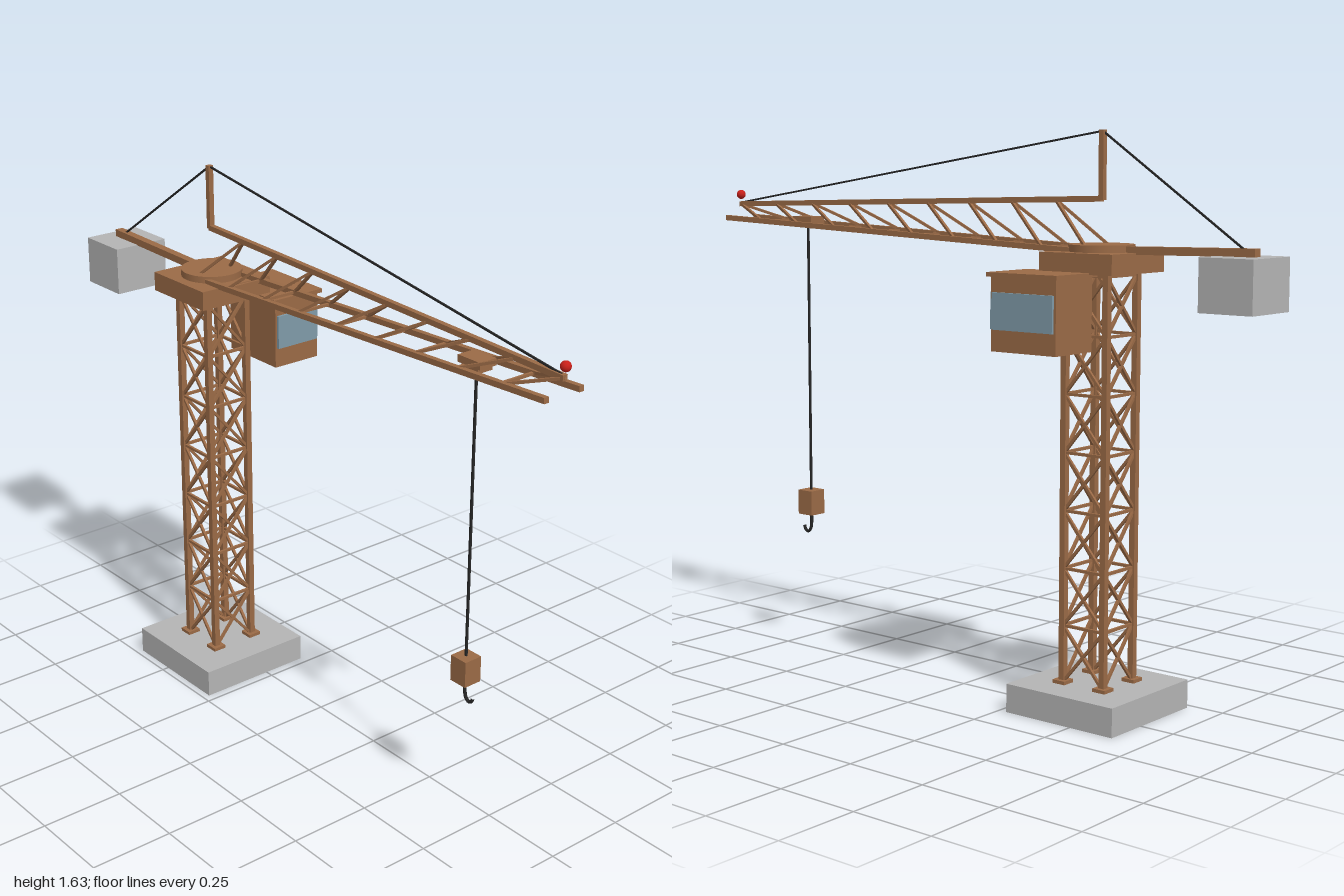
import * as THREE from 'three';

const paint = (name, color) => {
  const m = new THREE.MeshStandardMaterial({ color });
  m.name = name;
  return m;
};

export function createModel() {
  const brown = paint('brown steel', 0x9a6a46);
  const concrete = paint('concrete grey', 0xb4b4b4);
  const glass = paint('window glass', 0x7f9aa8);
  const dark = paint('dark cable', 0x262626);
  const red = paint('beacon red', 0xc8201a);

  const model = new THREE.Group();
  model.name = 'towerCrane';
  const CX = -0.045, CZ = -0.46; // tower axis

  const group = (name) => {
    const g = new THREE.Group();
    g.name = name;
    model.add(g);
    return g;
  };
  const add = (parent, name, geo, mat, x, y, z) => {
    const m = new THREE.Mesh(geo, mat);
    m.name = name;
    m.position.set(x, y, z);
    parent.add(m);
    return m;
  };
  const box = (parent, name, mat, w, h, d, x, y, z) =>
    add(parent, name, new THREE.BoxGeometry(w, h, d), mat, x, y, z);
  // Square bar between two points
  const bar = (parent, name, mat, a, b, t) => {
    const p = new THREE.Vector3(...a), q = new THREE.Vector3(...b);
    const mid = p.clone().add(q).multiplyScalar(0.5);
    const m = box(parent, name, mat, t, t, p.distanceTo(q), mid.x, mid.y, mid.z);
    m.lookAt(q);
    return m;
  };

  // Foundation
  box(model, 'foundation', concrete, 0.368, 0.083, 0.368, CX, 0.0415, CZ);

  // Mast: four legs with feet, X-braced on every side
  const mast = group('mast');
  const R = 0.07, BAYS = 7, Y0 = 0.085, STEP = 0.165;
  const corners = [[-1, -1], [1, -1], [1, 1], [-1, 1]].map(([x, z]) => [CX + x * R, CZ + z * R]);
  corners.forEach(([x, z], i) => {
    box(mast, 'leg', brown, 0.018, 1.17, 0.018, x, 0.668, z);
    box(mast, 'foot', brown, 0.042, 0.01, 0.042, x, 0.088, z);
    const [u, w] = corners[(i + 1) % 4];
    for (let k = 0; k < BAYS; k++) {
      const lo = Y0 + k * STEP, hi = lo + STEP;
      bar(mast, 'brace', brown, [x, lo, z], [u, hi, w], 0.008);
      bar(mast, 'brace', brown, [u, lo, w], [x, hi, z], 0.008);
      bar(mast, 'rung', brown, [x, hi, z], [u, hi, w], 0.008);
    }
  });

  // Slewing platform and turntable
  box(model, 'platform', brown, 0.246, 0.057, 0.246, CX, 1.2755, CZ);
  add(model, 'turntable', new THREE.CylinderGeometry(0.092, 0.092, 0.02, 32), brown, CX, 1.314, CZ);

  // Jib: triangular truss, one top chord and two bottom chords
  const jib = group('jib');
  const Z1 = 0.985, N = 9, HALF = 0.061;
  const zAt = (i) => Z1 + (CZ - Z1) * i / N;
  const top = (i) => [CX, 1.408 + 0.04 * i / N, zAt(i)];
  const bottom = (i, s) => [CX + s * HALF, 1.365 - 0.06 * i / N, zAt(i)];
  bar(jib, 'topChord', brown, top(0), top(N), 0.016);
  for (const s of [-1, 1]) {
    bar(jib, 'bottomChord', brown, bottom(0, s), bottom(N, s), 0.016);
    for (let i = 0; i < N; i++) bar(jib, 'diagonal', brown, top(i), bottom(i + 1, s), 0.008);
  }
  for (let i = 1; i <= N; i++) bar(jib, 'crossbar', brown, bottom(i, -1), bottom(i, 1), 0.008);

  // Apex post, counter jib, counterweight and stays
  const apex = [CX, 1.632, CZ];
  box(model, 'apexPost', brown, 0.016, 0.19, 0.016, CX, 1.54, CZ);
  const counterJib = bar(model, 'counterJib', brown, [CX, 1.308, CZ], [CX, 1.317, -0.957], 0.022);
  counterJib.scale.x = 1.15;
  box(model, 'counterweight', concrete, 0.18, 0.145, 0.165, CX, 1.233, -0.9175);
  bar(model, 'frontStay', dark, apex, [CX, 1.414, 0.975], 0.005);
  bar(model, 'rearStay', dark, apex, [CX, 1.325, -0.915], 0.005);
  add(model, 'beacon', new THREE.SphereGeometry(0.0145, 20, 14), red, CX, 1.438, Z1);

  // Operator cabin with front and side windows
  const cabin = group('cabin');
  const KX = 0.13, KZ = -0.387;
  box(cabin, 'cabinBody', brown, 0.16, 0.205, 0.222, KX, 1.138, KZ);
  box(cabin, 'cabinRoof', brown, 0.182, 0.012, 0.242, KX, 1.246, KZ);
  box(cabin, 'frontWindow', glass, 0.148, 0.102, 0.009, KX, 1.147, KZ + 0.1145);
  box(cabin, 'sideWindow', glass, 0.009, 0.102, 0.208, KX + 0.0835, 1.147, KZ);

  // Trolley, hoist cable and hook block
  const hoist = group('hoist');
  const HZ = 0.68;
  box(hoist, 'trolleyTop', brown, 0.058, 0.02, 0.082, CX, 1.365, HZ);
  box(hoist, 'trolleyBase', brown, 0.05, 0.016, 0.062, CX, 1.349, HZ);
  bar(hoist, 'hoistCable', dark, [CX, 1.345, HZ], [CX, 0.5, HZ], 0.006);
  box(hoist, 'hookBlock', brown, 0.058, 0.078, 0.058, CX, 0.464, HZ);
  const hookPath = new THREE.CatmullRomCurve3(
    [[0.43, 0], [0.395, 0], [0.376, 0.004], [0.365, 0.016], [0.37, 0.027], [0.383, 0.032]]
      .map(([y, z]) => new THREE.Vector3(0, y, HZ + z)));
  add(hoist, 'hook', new THREE.TubeGeometry(hookPath, 24, 0.005, 8), dark, CX, 0, 0);

  return model;
}
